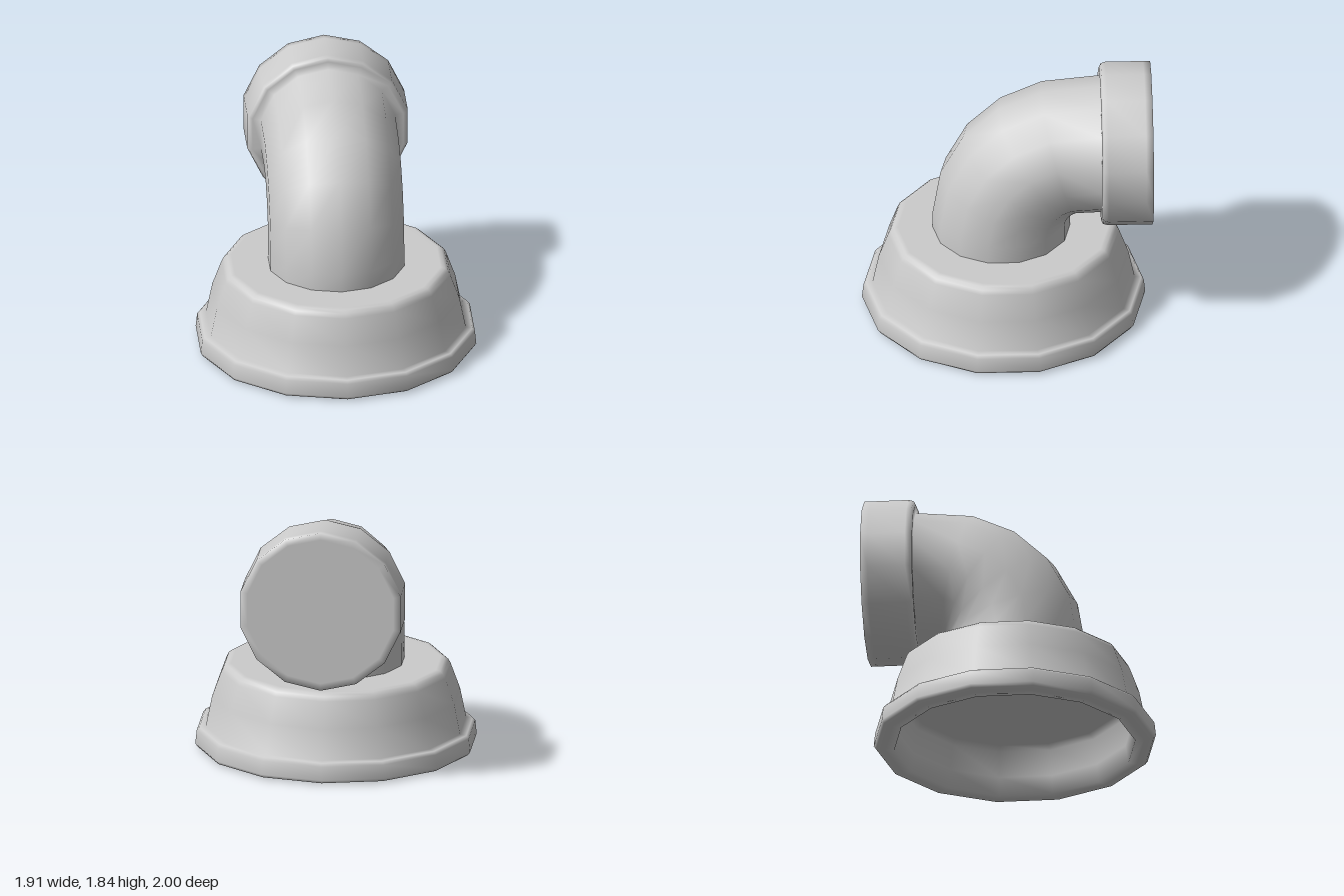
import * as THREE from 'three';

const SIDES = 14;

// Smooth skin over a row of 14-sided rings; each ring is { y, z, tilt, r }
function skinRings(rings) {
  const positions = [];
  const indices = [];
  rings.forEach(({ y, z, tilt, r }, i) => {
    for (let j = 0; j < SIDES; j++) {
      const t = (j / SIDES) * Math.PI * 2;
      const out = r * Math.cos(t);
      positions.push(r * Math.sin(t), y + out * Math.sin(tilt), z + out * Math.cos(tilt));
      if (i === 0) continue;
      const k = (j + 1) % SIDES;
      const low = (i - 1) * SIDES, high = i * SIDES;
      indices.push(low + j, low + k, high + k, low + j, high + k, high + j);
    }
  });
  const geometry = new THREE.BufferGeometry();
  geometry.setAttribute('position', new THREE.Float32BufferAttribute(positions, 3));
  geometry.setIndex(indices);
  geometry.computeVertexNormals();
  return geometry;
}

export function createModel() {
  const group = new THREE.Group();
  const material = new THREE.MeshStandardMaterial({ color: 0xcccccc });

  // Hollow base: shallow recess, foot flange, tapered wall, rounded shoulder, flat top
  const baseProfile = [
    [0, 0.34], [0.74, 0.34], [0.785, 0.31], [0.815, 0.13], [0.835, 0.0],
    [0.9, 0.002], [0.962, 0.012], [0.978, 0.035], [0.968, 0.13], [0.95, 0.152],
    [0.905, 0.157], [0.862, 0.37], [0.797, 0.55],
    [0.782, 0.58], [0.76, 0.598], [0.73, 0.605], [0, 0.605],
  ].map(([r, y]) => new THREE.Vector2(r, y));
  const base = new THREE.Mesh(new THREE.LatheGeometry(baseProfile, SIDES), material);
  base.name = 'base';
  base.position.z = 0.02;
  group.add(base);

  // Elbow: a short riser, then a bend in 75 degrees
  const r = 0.475, bendRadius = 0.535, bendY = 0.73, bendZ = -0.5;
  const elbow = [{ y: 0.58, z: bendZ + bendRadius, tilt: 0, r }];
  for (let i = 0; i <= 4; i++) {
    const tilt = THREE.MathUtils.degToRad(18.75 * i);
    elbow.push({
      y: bendY + bendRadius * Math.sin(tilt),
      z: bendZ + bendRadius * Math.cos(tilt),
      tilt, r,
    });
  }

  // Collar: pipe end, rounded lip, straight sleeve and closed rear face
  const collar = [
    [0.477, -0.645], [0.535, -0.645], [0.56, -0.658], [0.57, -0.69],
    [0.57, -0.95], [0.57, -1], [0.52, -1], [0, -1],
  ].map(([radius, z]) => ({ y: 1.27, z, tilt: Math.PI / 2, r: radius }));

  const pipe = new THREE.Mesh(skinRings([...elbow, ...collar]), material);
  pipe.name = 'elbowPipe';
  group.add(pipe);

  return group;
}
